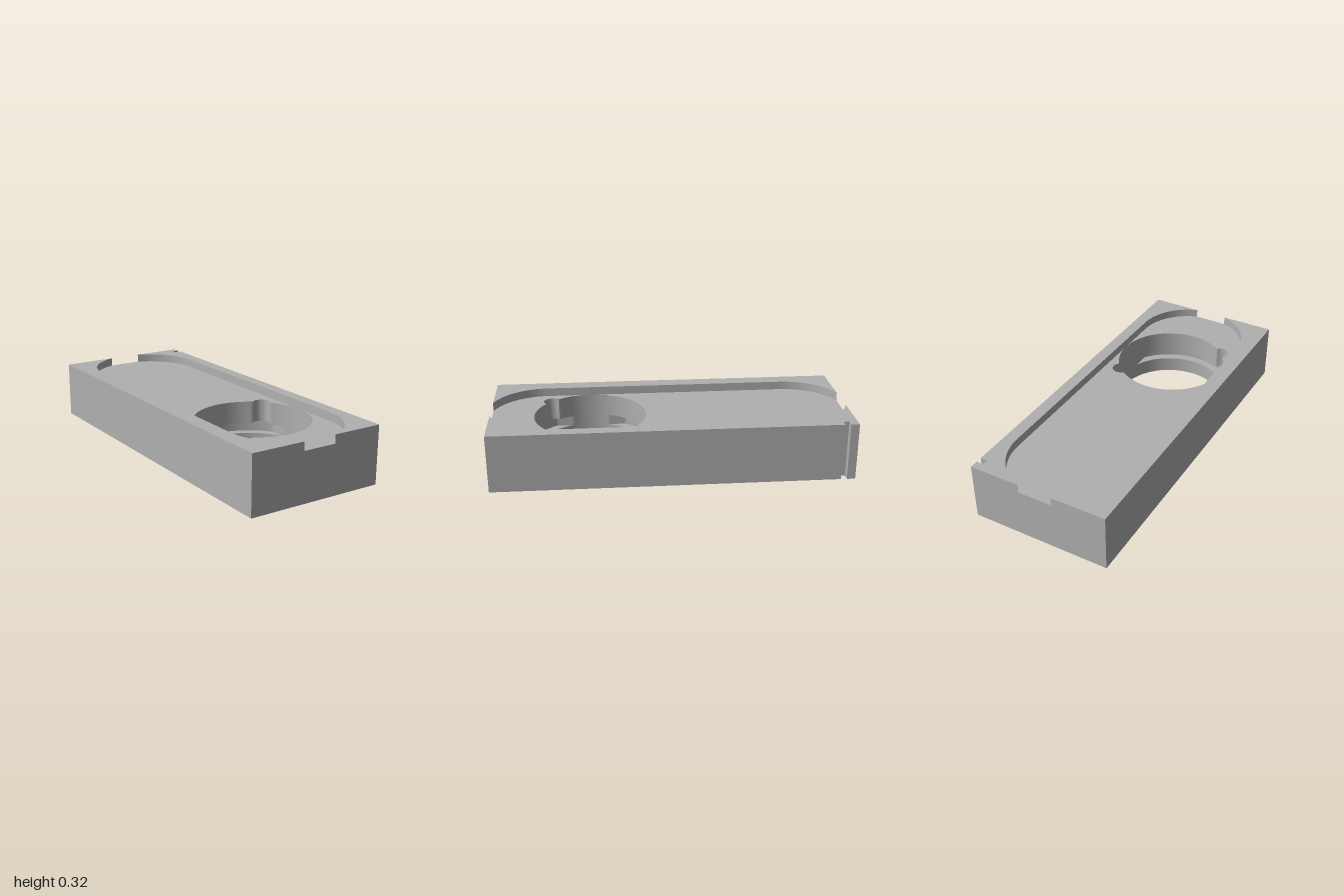
import * as THREE from 'three';
import { toCreasedNormals } from 'three/addons/utils/BufferGeometryUtils.js';

const W = 0.395, L = 1, CX = 0.01;          // half width, half length, centre line of the pocket
const R = 0.316, HOLE_Z = 0.447;            // bore and pocket radius, bore position
const GROOVE_R = 0.364, GROOVE_W = 0.298;   // locking groove radius and half width
const Y = [0, 0.09, 0.15, 0.277, 0.325];    // layer heights
const SLOT = { x: 0.354, z0: -0.953, z1: -0.92 }; // small slot in the +x side

// Plan points are [x, z]; the shape plane uses -z as its y.
const toV = (pts) => pts.map(([x, z]) => new THREE.Vector2(x, -z));

// +x edge running from the front to the back, including the slot
const sideEdge = [[W, L], [W, SLOT.z1], [SLOT.x, SLOT.z1], [SLOT.x, SLOT.z0], [W, SLOT.z0], [W, -L]];

// Bore outline whose radius is a function of angle
function boreOutline(radius, n = 240) {
  const pts = [];
  for (let i = 0; i < n; i++) {
    const a = (i / n) * Math.PI * 2, r = radius(a);
    pts.push([CX + r * Math.cos(a), HOLE_Z + r * Math.sin(a)]);
  }
  return pts;
}

const plainBore = () => R;

// Circular groove trimmed by two flats
const groovedBore = (a) =>
  Math.max(R, Math.min(GROOVE_R, GROOVE_W / Math.max(Math.abs(Math.cos(a)), 1e-6)));

// Two small round entry notches on opposite sides
function notchedBore(a) {
  const d = 0.314, nr = 0.05;
  let r = R;
  for (const c of [-Math.PI / 4, Math.PI * 0.75]) {
    const s = d * Math.sin(a - c), k = nr * nr - s * s;
    if (k > 0 && Math.cos(a - c) > 0) r = Math.max(r, d * Math.cos(a - c) + Math.sqrt(k));
  }
  return r;
}

// Inner edge of a pocket rail: rounded ends that break through both end faces
function railEdge(side, n = 24) {
  const half = 0.097, zc = L - Math.sqrt(R * R - half * half);
  const end = Math.acos(half / R), pts = [];
  for (let i = 0; i <= n; i++) {
    const a = end * (1 - i / n);
    pts.push([CX + side * R * Math.cos(a), -zc - R * Math.sin(a)]);
  }
  return [...pts, ...pts.map(([x, z]) => [x, -z]).reverse()]; // back to front
}

export function createModel() {
  const group = new THREE.Group();
  const grey = new THREE.MeshStandardMaterial({ color: 0xb0b0b0 });
  grey.name = 'plain grey';

  function addLayer(name, outline, level, hole) {
    const shape = new THREE.Shape(toV(outline));
    if (hole) shape.holes.push(new THREE.Path(toV(hole)));
    const geo = new THREE.ExtrudeGeometry(shape, { depth: Y[level + 1] - Y[level], bevelEnabled: false });
    geo.rotateX(-Math.PI / 2).translate(0, Y[level], 0);
    const mesh = new THREE.Mesh(toCreasedNormals(geo, 0.4), grey);
    mesh.name = name;
    group.add(mesh);
  }

  // Body layers around the bore
  const block = [...sideEdge, [-W, -L], [-W, L]];
  addLayer('baseLayer', block, 0, boreOutline(plainBore));
  addLayer('grooveLayer', block, 1, boreOutline(groovedBore));
  addLayer('pocketFloorLayer', block, 2, boreOutline(notchedBore));

  // Rails that frame the shallow pocket
  addLayer('leftRail', [...sideEdge, ...railEdge(1)], 3);
  addLayer('rightRail', [[-W, L], [-W, -L], ...railEdge(-1)], 3);

  group.name = 'slottedBlock';
  return group;
}
